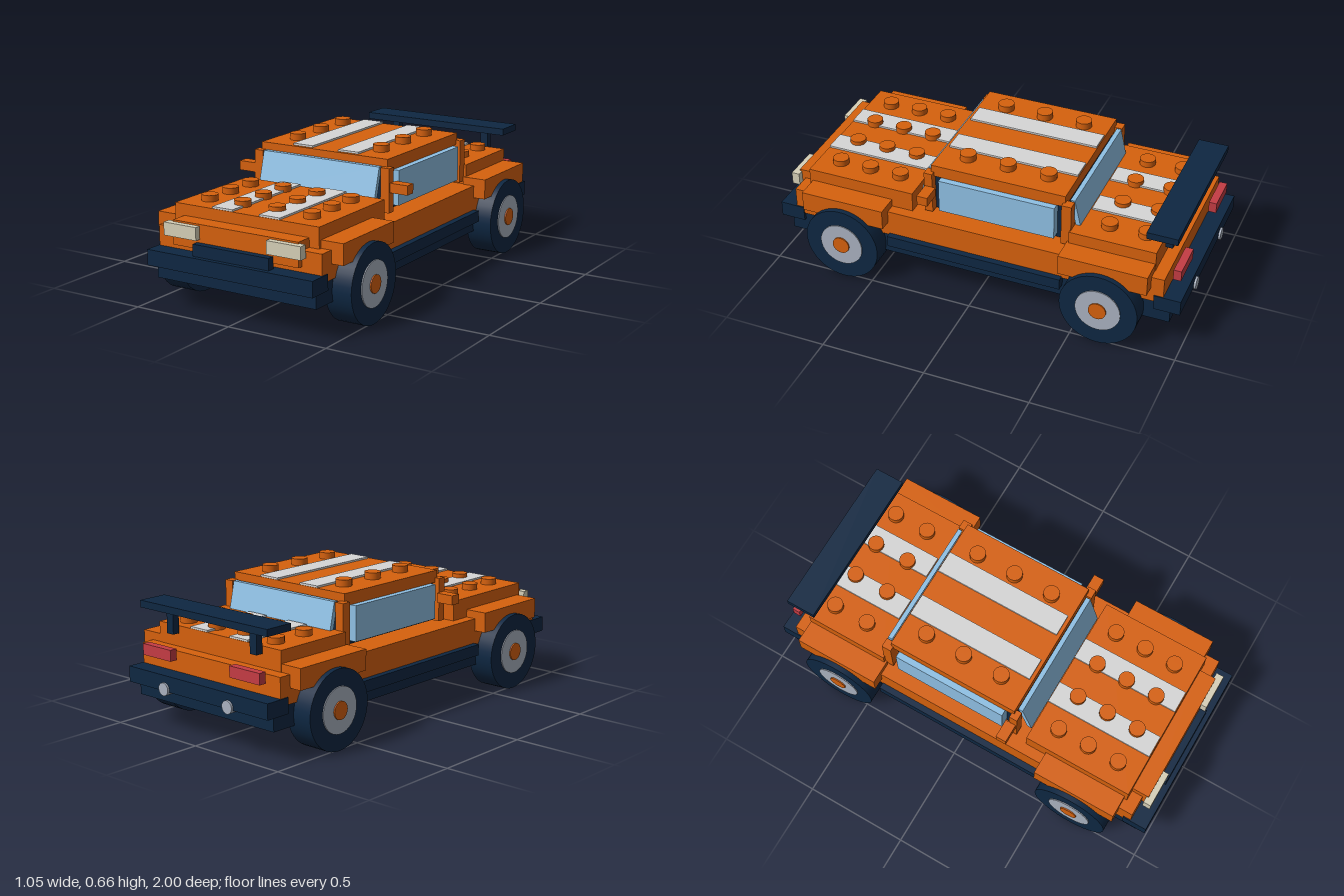
import * as THREE from 'three';

const paint = (name, color) => Object.assign(new THREE.MeshStandardMaterial({ color }), { name });

export function createModel() {
  const car = new THREE.Group();
  car.name = 'brickCar';

  const orange = paint('orange', 0xd6610d);
  const navy = paint('navy', 0x0e2742);
  const glass = paint('glassBlue', 0x8fc0e4);
  const stripe = paint('stripeGrey', 0xd6d6d6);
  const metal = paint('wheelGrey', 0xaab2c0);
  const cream = paint('headlightCream', 0xd6d0b8);
  const red = paint('tailRed', 0xc43c44);

  const add = (name, geometry, material) => {
    const mesh = new THREE.Mesh(geometry, material);
    mesh.name = name;
    car.add(mesh);
    return mesh;
  };
  // Box given by its limits on each axis
  const box = (name, mat, [x0, x1], [y0, y1], [z0, z1]) => {
    const mesh = add(name, new THREE.BoxGeometry(x1 - x0, y1 - y0, z1 - z0), mat);
    mesh.position.set((x0 + x1) / 2, (y0 + y1) / 2, (z0 + z1) / 2);
    return mesh;
  };
  const wide = (name, mat, half, y, z) => box(name, mat, [-half, half], y, z);
  const pair = (name, mat, [x0, x1], y, z) => {
    box(name + 'Left', mat, [x0, x1], y, z);
    box(name + 'Right', mat, [-x1, -x0], y, z);
  };

  // Chassis, skirts and bumpers
  wide('chassis', navy, 0.42, [0.14, 0.25], [-0.94, 0.95]);
  pair('sideSkirt', navy, [0.415, 0.46], [0.2, 0.254], [-0.43, 0.43]);
  wide('frontBumper', navy, 0.435, [0.207, 0.28], [0.88, 1]);
  wide('rearBumper', navy, 0.435, [0.207, 0.28], [-0.99, -0.865]);
  wide('frontGrille', navy, 0.2, [0.27, 0.335], [0.94, 0.978]);

  // Lower body, fenders, hood and trunk
  wide('body', orange, 0.43, [0.245, 0.375], [-0.908, 0.918]);
  for (const [name, z] of [['frontFender', [0.435, 0.848]], ['rearFender', [-0.848, -0.43]]]) {
    pair(name, orange, [0.37, 0.49], [0.315, 0.412], z);
  }
  wide('hood', orange, 0.38, [0.37, 0.471], [0.33, 0.863]);
  wide('trunk', orange, 0.38, [0.37, 0.471], [-0.85, -0.44]);
  wide('nose', orange, 0.33, [0.305, 0.418], [0.86, 0.945]);

  // Lights
  pair('headlight', cream, [0.185, 0.36], [0.35, 0.41], [0.935, 0.973]);
  pair('tailLight', red, [0.185, 0.365], [0.34, 0.392], [-0.965, -0.928]);

  // Cabin
  wide('cabinInterior', navy, 0.328, [0.39, 0.58], [-0.388, 0.235]);
  wide('roof', orange, 0.344, [0.575, 0.632], [-0.408, 0.245]);
  pair('frontPillar', orange, [0.322, 0.368], [0.39, 0.597], [0.232, 0.272]);
  pair('rearPillar', orange, [0.322, 0.368], [0.39, 0.597], [-0.445, -0.398]);
  pair('sideWindow', glass, [0.322, 0.374], [0.41, 0.575], [-0.367, 0.197]);
  pair('mirror', orange, [0.37, 0.46], [0.485, 0.53], [0.215, 0.267]);

  // Sloping windscreens, made by leaning a thin box along z
  const screen = (name, yLow, yHigh, zLow, zHigh) => {
    const g = new THREE.BoxGeometry(0.63, yHigh - yLow, 0.022);
    const p = g.attributes.position;
    for (let i = 0; i < p.count; i++) {
      p.setZ(i, p.getZ(i) + (p.getY(i) < 0 ? zLow : zHigh));
    }
    g.computeVertexNormals();
    add(name, g, glass).position.y = (yLow + yHigh) / 2;
  };
  screen('windscreen', 0.42, 0.598, 0.31, 0.26);
  screen('rearWindow', 0.42, 0.598, -0.472, -0.432);

  // Racing stripes
  pair('hoodStripe', stripe, [0.07, 0.178], [0.471, 0.48], [0.33, 0.86]);
  pair('roofStripe', stripe, [0.07, 0.178], [0.632, 0.641], [-0.405, 0.228]);
  pair('trunkStripe', stripe, [0.07, 0.178], [0.471, 0.48], [-0.848, -0.478]);

  // Studs
  const studGeometry = new THREE.CylinderGeometry(0.038, 0.038, 0.034, 24);
  const studs = (name, xs, zs, y) => {
    for (const x of xs) for (const z of zs) {
      add(name, studGeometry, orange).position.set(x, y + 0.015, z);
    }
  };
  const deck = [-0.273, -0.093, 0.091, 0.271];
  studs('hoodStud', deck, [0.44, 0.595, 0.75], 0.468);
  studs('trunkStud', deck, [-0.595, -0.77], 0.468);
  studs('roofStud', [-0.23, 0.23], [-0.285, -0.087, 0.11], 0.632);

  // Rear wing
  wide('wing', navy, 0.395, [0.55, 0.583], [-0.947, -0.803]);
  pair('wingSupport', navy, [0.24, 0.28], [0.44, 0.555], [-0.895, -0.86]);

  // Exhausts
  for (const x of [-0.2, 0.2]) {
    const pipe = add('exhaust', new THREE.CylinderGeometry(0.03, 0.03, 0.06, 20), metal);
    pipe.rotation.x = Math.PI / 2;
    pipe.position.set(x, 0.218, -0.97);
  }

  // Wheels: tyre, hub and centre cap
  const layers = [
    ['tyre', 0.185, 0.385, 0.515, navy, 40],
    ['hub', 0.107, 0.38, 0.52, metal, 32],
    ['cap', 0.042, 0.44, 0.526, orange, 24],
  ];
  for (const side of [-1, 1]) for (const z of [0.642, -0.634]) {
    for (const [name, r, x0, x1, mat, n] of layers) {
      const part = add(name, new THREE.CylinderGeometry(r, r, x1 - x0, n), mat);
      part.rotation.z = Math.PI / 2;
      part.position.set(side * (x0 + x1) / 2, 0.186, z);
    }
  }

  return car;
}
